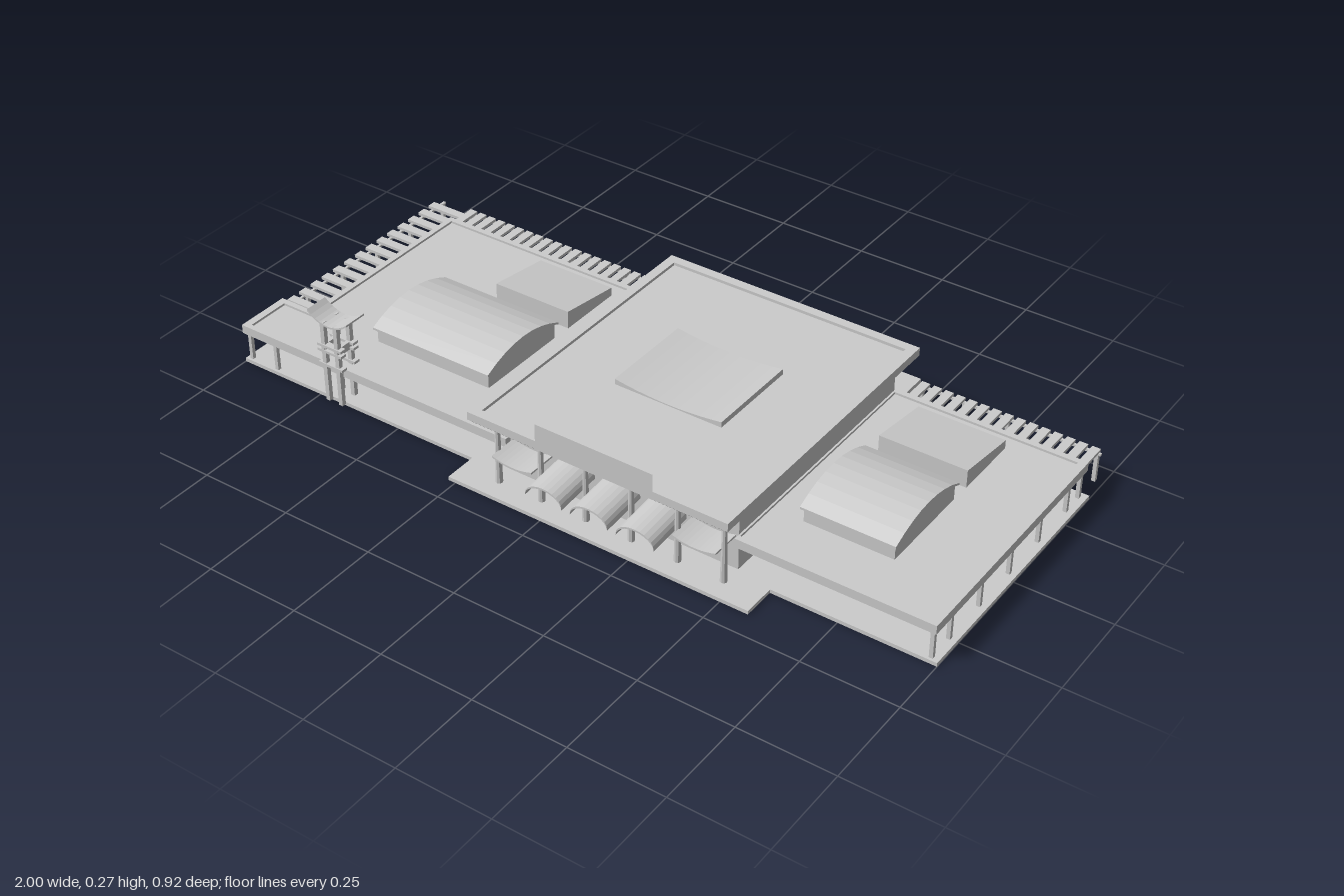
import * as THREE from 'three';

const mat = new THREE.MeshStandardMaterial({ color: 0xcccccc, flatShading: true, side: THREE.DoubleSide });

function add(parent, geo, name) {
  const m = new THREE.Mesh(geo, mat);
  m.name = name;
  parent.add(m);
  return m;
}

// box given by its limits on each axis
function box(parent, name, x0, x1, y0, y1, z0, z1) {
  const m = add(parent, new THREE.BoxGeometry(x1 - x0, y1 - y0, z1 - z0), name);
  m.position.set((x0 + x1) / 2, (y0 + y1) / 2, (z0 + z1) / 2);
  return m;
}

const rect = (x0, x1, z0, z1) => [[x0, z0], [x1, z0], [x1, z1], [x0, z1]];
const outline = (pts) => pts.map(([x, z]) => new THREE.Vector2(x, -z));

// plan outline raised from y0 to y1, with optional holes
function slab(parent, name, pts, y0, y1, holes = []) {
  const s = new THREE.Shape(outline(pts));
  holes.forEach((h) => s.holes.push(new THREE.Path(outline(h))));
  const g = new THREE.ExtrudeGeometry(s, { depth: y1 - y0, bevelEnabled: false });
  g.rotateX(-Math.PI / 2).translate(0, y0, 0);
  return add(parent, g, name);
}

// box narrowed at its lower edge
function frustum(parent, name, x0, x1, y0, y1, z0, z1, inset) {
  const m = box(parent, name, x0, x1, y0, y1, z0, z1);
  const p = m.geometry.attributes.position;
  for (let i = 0; i < p.count; i++) {
    if (p.getY(i) < 0) {
      p.setX(i, p.getX(i) - Math.sign(p.getX(i)) * inset);
      p.setZ(i, p.getZ(i) - Math.sign(p.getZ(i)) * inset);
    }
  }
  m.geometry.computeVertexNormals();
  return m;
}

// (z, y) profile extruded from x0 to x1
function alongX(parent, name, pts, x0, x1) {
  const s = new THREE.Shape(pts.map(([z, y]) => new THREE.Vector2(-z, y)));
  const g = new THREE.ExtrudeGeometry(s, { depth: x1 - x0, bevelEnabled: false });
  g.rotateY(Math.PI / 2).translate(x0, 0, 0);
  return add(parent, g, name);
}

// (x, y) profile extruded from z0 to z1
function alongZ(parent, name, pts, z0, z1) {
  const s = new THREE.Shape(pts.map(([x, y]) => new THREE.Vector2(x, y)));
  const g = new THREE.ExtrudeGeometry(s, { depth: z1 - z0, bevelEnabled: false });
  return add(parent, g.translate(0, 0, z0), name);
}

// parabola from a to b: ends at height yEnd, middle at yMid
function curve(a, b, yEnd, yMid, n = 10) {
  return Array.from({ length: n + 1 }, (_, i) => {
    const t = i / n;
    return [a + (b - a) * t, yEnd + (yMid - yEnd) * 4 * t * (1 - t)];
  });
}
const strip = (pts, t) => [...pts, ...pts.map(([a, y]) => [a, y - t]).reverse()];

function group(parent, name) {
  const g = new THREE.Group();
  g.name = name;
  parent.add(g);
  return g;
}

export function createModel() {
  const model = group(new THREE.Group(), 'pavilion');
  model.removeFromParent();

  // rooms: x0, x1, z0, z1
  const hall = [-0.165, 0.478, -0.35, 0.327];
  const rightRoom = [-0.8, -0.165, -0.287, 0.258];
  const leftRoom = [0.478, 0.905, -0.287, 0.258];
  const inner = ([a, b, c, d]) => rect(a + 0.005, b - 0.005, c + 0.005, d - 0.005);

  // terrace, open beneath the rooms
  slab(model, 'terrace', [[-1, 0.345], [-0.27, 0.345], [-0.27, 0.435], [0.575, 0.435], [0.575, 0.345],
    [1, 0.345], [1, -0.37], [0.575, -0.37], [0.575, -0.46], [-1, -0.46]], 0, 0.01,
  [hall, rightRoom, leftRoom].map(inner));

  // hollow walls
  const walls = group(model, 'walls');
  slab(walls, 'hallWalls', rect(...hall), 0.008, 0.19, [inner(hall)]);
  slab(walls, 'rightWingWalls', rect(...rightRoom), 0.008, 0.09, [inner(rightRoom)]);
  slab(walls, 'leftWingWalls', rect(...leftRoom), 0.008, 0.09, [inner(leftRoom)]);

  // wing roofs with raised rim
  const wings = group(model, 'wingRoofs');
  slab(wings, 'rightRoof', [[-0.9, -0.36], [-0.165, -0.36], [-0.165, 0.345], [-1, 0.345], [-1, 0.195], [-0.9, 0.195]], 0.086, 0.104);
  slab(wings, 'rightRim', [[-0.9, -0.36], [-0.165, -0.36], [-0.165, 0.345], [-1, 0.345], [-1, 0.195], [-0.9, 0.195]], 0.1, 0.11,
    [[[-0.885, -0.345], [-0.17, -0.345], [-0.17, 0.33], [-0.98, 0.33], [-0.98, 0.21], [-0.885, 0.21]]]);
  slab(wings, 'leftRoof', rect(0.478, 0.992, -0.36, 0.345), 0.086, 0.104);
  slab(wings, 'leftRim', rect(0.478, 0.992, -0.36, 0.345), 0.1, 0.11, [rect(0.483, 0.972, -0.345, 0.33)]);

  // mullions and slim posts
  const posts = group(model, 'posts');
  const post = (x, z, y1 = 0.088, r = 0.005) => box(posts, 'post', x - r, x + r, 0.008, y1, z - r, z + r);
  const bays = [0.258, 0.125, -0.012, -0.15, -0.287];
  bays.forEach((z) => { post(0.905, z); post(-0.8, z); post(0.98, z); });
  [-0.645, -0.49, -0.33, -0.25, 0.57, 0.757].forEach((x) => { post(x, 0.258); post(x, -0.287); });
  [[0.98, 0.333], [0.98, -0.35], [-0.985, 0.333], [-0.9, 0.333], [-0.985, 0.205]].forEach(([x, z]) => post(x, z));

  // main roof: rounded lower edge, recessed top
  const roof = group(model, 'mainRoof');
  const [rx0, rx1, rz0, rz1] = [-0.207, 0.514, -0.397, 0.43];
  frustum(roof, 'roofSoffit', rx0 + 0.008, rx1 - 0.008, 0.183, 0.192, rz0 + 0.008, rz1 - 0.008, 0.018);
  frustum(roof, 'roofCurve', rx0, rx1, 0.192, 0.201, rz0, rz1, 0.008);
  box(roof, 'roofDeck', rx0, rx1, 0.2, 0.214, rz0, rz1);
  slab(roof, 'roofRim', rect(rx0, rx1, rz0, rz1), 0.213, 0.222, [rect(rx0 + 0.025, rx1 - 0.025, rz0 + 0.025, rz1 - 0.025)]);
  alongZ(roof, 'saggingSkylight', [[0.3, 0.21], [0, 0.21], ...curve(0, 0.3, 0.229, 0.217)], -0.125, 0.135);
  const panel = add(roof, new THREE.PlaneGeometry(0.325, 0.07), 'frontPanel');
  panel.position.set(0.153, 0.235, rz1 + 0.001);

  // vaulted lanterns and sloping skylights on the wings
  const lanterns = group(model, 'roofLanterns');
  [[-0.685, -0.325, -0.555], [0.56, 0.808, 0.57]].forEach(([x0, x1, s0]) => {
    const top = curve(-0.075, 0.207, 0.148, 0.184, 8);
    alongX(lanterns, 'vaultBody', [[0.198, 0.1], [-0.066, 0.1], ...curve(-0.066, 0.198, 0.146, 0.178, 8)], x0 + 0.006, x1 - 0.006);
    alongX(lanterns, 'vaultRoof', strip(top, 0.006), x0, x1);
    alongX(lanterns, 'slopingSkylight', [[-0.12, 0.1], [-0.305, 0.1], [-0.305, 0.127], [-0.12, 0.153]], s0, x1 - 0.004);
  });

  // rear and side pergolas
  const pergola = group(model, 'pergolas');
  const rearPergola = (x0, x1) => {
    box(pergola, 'rearBeam', x0, x1, 0.083, 0.089, -0.437, -0.43);
    const n = Math.round((x1 - x0) / 0.032);
    for (let i = 0; i < n; i++) {
      const x = x0 + (i + 0.5) * (x1 - x0) / n;
      box(pergola, 'rearSlat', x - 0.011, x + 0.011, 0.089, 0.097, -0.44, -0.355);
    }
    for (let i = 0; i <= 4; i++) post(x0 + 0.01 + i * (x1 - x0 - 0.02) / 4, -0.433);
  };
  rearPergola(-0.9, -0.2);
  rearPergola(0.5, 0.99);
  box(pergola, 'sideBeam', -0.99, -0.983, 0.083, 0.089, -0.44, 0.2);
  for (let i = 0; i < 14; i++) {
    const z = -0.4 + i * 0.0435;
    box(pergola, 'sideSlat', -1, -0.895, 0.089, 0.097, z - 0.012, z + 0.012);
  }
  for (let i = 0; i < 5; i++) post(-0.986, -0.43 + i * 0.137);

  // rear canopy and louvred window box
  const rear = group(model, 'rearFront');
  box(rear, 'rearCanopy', -0.2, 0.5, 0.086, 0.1, -0.442, -0.345);
  for (let i = 0; i <= 5; i++) post(-0.19 + i * 0.136, -0.433);
  box(rear, 'louvreSill', -0.13, 0.45, 0.1, 0.106, -0.377, -0.345);
  box(rear, 'louvreHead', -0.13, 0.45, 0.161, 0.167, -0.377, -0.345);
  for (let i = 0; i <= 30; i++) {
    const x = -0.127 + i * 0.574 / 30;
    box(rear, 'louvreFin', x - 0.003, x + 0.003, 0.104, 0.163, -0.38, -0.345);
  }

  // portico columns and barrel canopies
  const portico = group(model, 'portico');
  const columns = [-0.16, -0.035, 0.093, 0.221, 0.349, 0.474];
  columns.forEach((x) => {
    const c = add(portico, new THREE.CylinderGeometry(0.006, 0.009, 0.18, 8), 'column');
    c.position.set(x, 0.1, 0.38);
  });
  const arc = Array.from({ length: 13 }, (_, i) => {
    const a = Math.PI * (1 - i / 12);
    return [0.052 * Math.cos(a), 0.092 + 0.034 * Math.sin(a)];
  });
  for (let i = 1; i < 4; i++) {
    const c = alongZ(portico, 'barrelCanopy', strip(arc, 0.005), 0.327, 0.457);
    c.position.x = (columns[i] + columns[i + 1]) / 2;
    const p = c.geometry.attributes.position;
    for (let k = 0; k < p.count; k++) p.setY(k, p.getY(k) - (p.getZ(k) - 0.38) * 0.08);
    c.geometry.computeVertexNormals();
  }
  [[-0.155, -0.04], [0.354, 0.47]].forEach(([a, b]) => alongZ(portico, 'saggingCanopy', strip(curve(a, b, 0.106, 0.096), 0.005), 0.327, 0.41));

  // bell tower with upswept roof
  const tower = group(model, 'bellTower');
  [-0.713, -0.672].forEach((x) => [0.306, 0.352].forEach((z) => box(tower, 'towerLeg', x - 0.006, x + 0.006, 0.005, 0.235, z - 0.006, z + 0.006)));
  [0.11, 0.15, 0.165].forEach((y) => [0.306, 0.352].forEach((z) => box(tower, 'towerRail', -0.73, -0.655, y, y + 0.007, z - 0.009, z + 0.009)));
  [-0.713, -0.672].forEach((x) => box(tower, 'towerTie', x - 0.005, x + 0.005, 0.15, 0.172, 0.3, 0.36));
  alongZ(tower, 'towerRoof', strip(curve(-0.755, -0.63, 0.258, 0.232), 0.005), 0.294, 0.36);

  return model;
}
